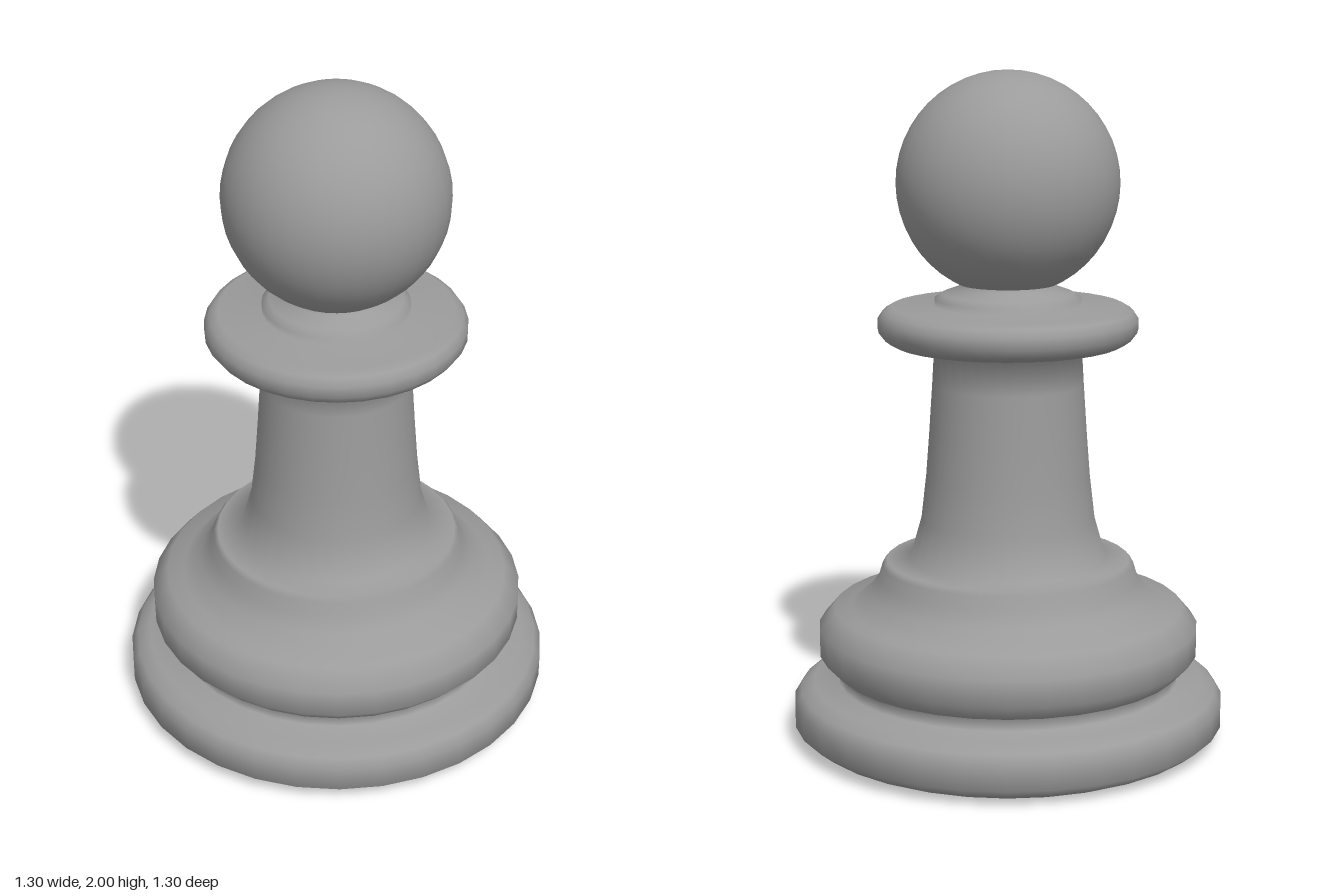
import * as THREE from 'three';

const SIDES = 32;
const material = new THREE.MeshStandardMaterial({ color: 0x9b9b9b });

// Half outlines of the turned parts as [radius, y], from the ground up
const foot = [[0, 0], [0.57, 0], [0.61, 0.018], [0.65, 0.05], [0.65, 0.12], [0.63, 0.15], [0.59, 0.175]];
const groove = [[0.515, 0.178], [0.515, 0.213]];
const baseRing = [[0.525, 0.216], [0.572, 0.265], [0.572, 0.345], [0.525, 0.4]];
const shoulder = [[0.475, 0.402], [0.42, 0.447], [0.39, 0.49], [0.378, 0.53], [0.365, 0.545]];
const stem = [[0.295, 0.547], [0.26, 0.67], [0.245, 0.8], [0.235, 0.93], [0.225, 1.08], [0.218, 1.2]];
const collar = [[0.34, 1.202], [0.365, 1.216], [0.385, 1.242], [0.385, 1.275], [0.37, 1.298], [0.345, 1.313]];
const neck = [[0.217, 1.315], [0.217, 1.335], [0.195, 1.35], [0.145, 1.368], [0.14, 1.4]];

export function createModel() {
  const model = new THREE.Group();
  model.name = 'pawn';

  // Body turned in one piece, smooth from foot to neck
  const profile = [...foot, ...groove, ...baseRing, ...shoulder, ...stem, ...collar, ...neck]
    .map(([r, y]) => new THREE.Vector2(r, y));
  const body = new THREE.Mesh(new THREE.LatheGeometry(profile, SIDES), material);
  body.name = 'turnedBody';
  model.add(body);

  // Ball head
  const head = new THREE.Mesh(new THREE.SphereGeometry(0.328, SIDES, 24), material);
  head.name = 'head';
  head.position.y = 1.672;
  model.add(head);

  return model;
}
